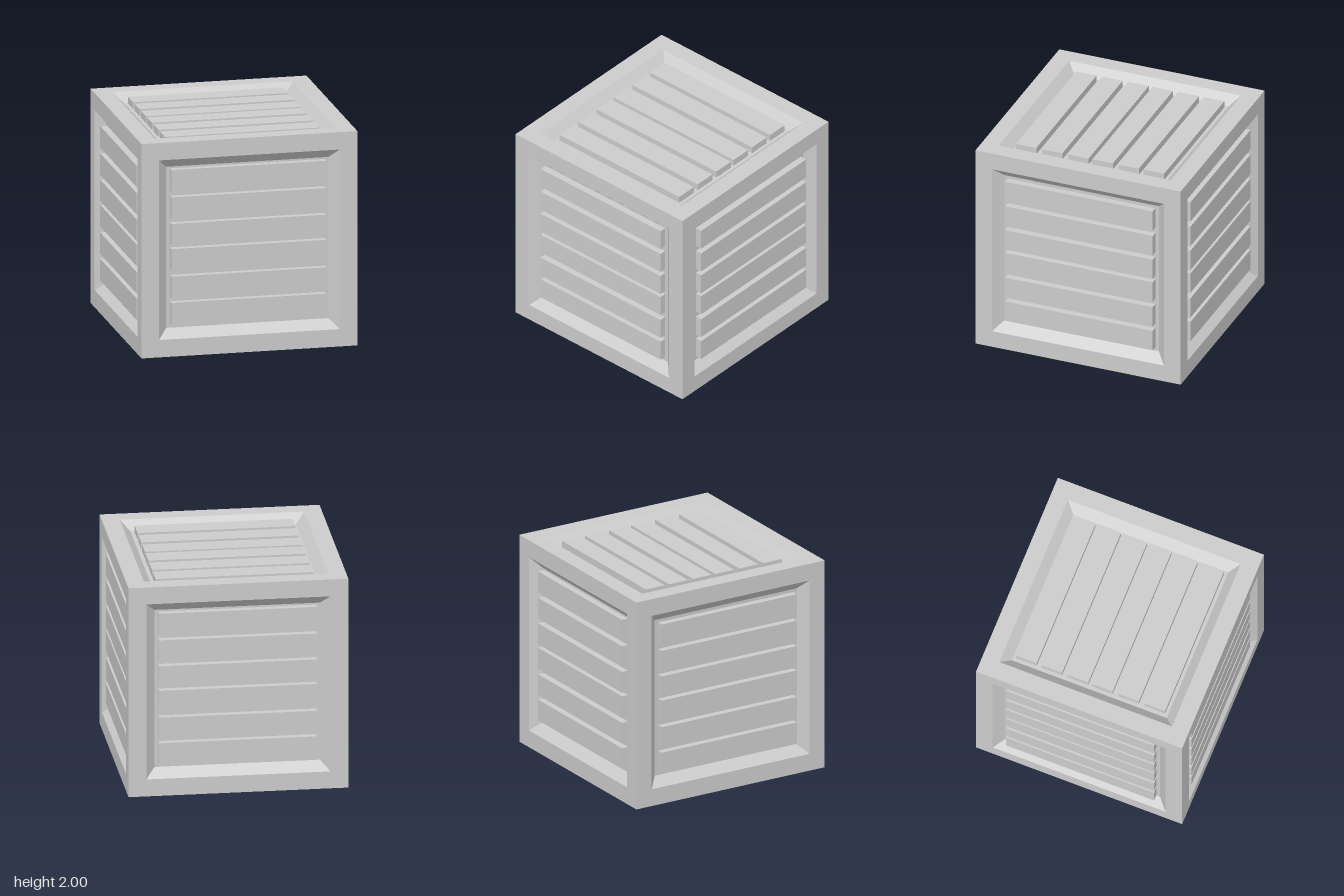
import * as THREE from 'three';

const material = new THREE.MeshStandardMaterial({ color: 0xcccccc, flatShading: true });

// One crate side lying face up: square frame, bevelled recess and floor as a four-sided lathe
const framePoints = [[1, 1], [0.838, 1], [0.752, 0.914], [0, 0.914]]
  .map(([half, y]) => new THREE.Vector2(half * Math.SQRT2, y));
const frameGeometry = new THREE.LatheGeometry(framePoints, 4, Math.PI / 4);

// Slats sit on the recess floor, just below the frame's face
const slatTop = 0.978, slatBottom = 0.91;
const slatGeometry = new THREE.BoxGeometry(1.436, slatTop - slatBottom, 0.2);

function createSide(name, offsets, tilt, turn) {
  const side = new THREE.Group();
  side.name = name;
  const frame = new THREE.Mesh(frameGeometry, material);
  frame.name = 'frame';
  side.add(frame);
  for (const z of offsets) {
    const slat = new THREE.Mesh(slatGeometry, material);
    slat.name = 'slat';
    slat.position.set(0, (slatTop + slatBottom) / 2, z);
    side.add(slat);
  }
  side.rotation.set(tilt, turn, 0, 'YXZ');
  side.position.y = 1;
  return side;
}

export function createModel() {
  const crate = new THREE.Group();
  crate.name = 'crate';

  // Slightly uneven slat spacing, given as distance from the side's upper edge towards its lower one
  const front = [-0.635, -0.38, -0.132, 0.103, 0.36, 0.605];
  const flank = [-0.623, -0.368, -0.122, 0.113, 0.37, 0.616];
  const lid = [-0.623, -0.377, -0.123, 0.113, 0.368, 0.622];

  // Four upright sides
  const quarter = Math.PI / 2;
  crate.add(createSide('frontSide', front, quarter, 0));
  crate.add(createSide('leftSide', flank, quarter, quarter));
  crate.add(createSide('backSide', front, quarter, Math.PI));
  crate.add(createSide('rightSide', flank, quarter, -quarter));

  // Top and bottom
  crate.add(createSide('topSide', lid, 0, 0));
  crate.add(createSide('bottomSide', lid.map((z) => -z), Math.PI, 0));
  return crate;
}
